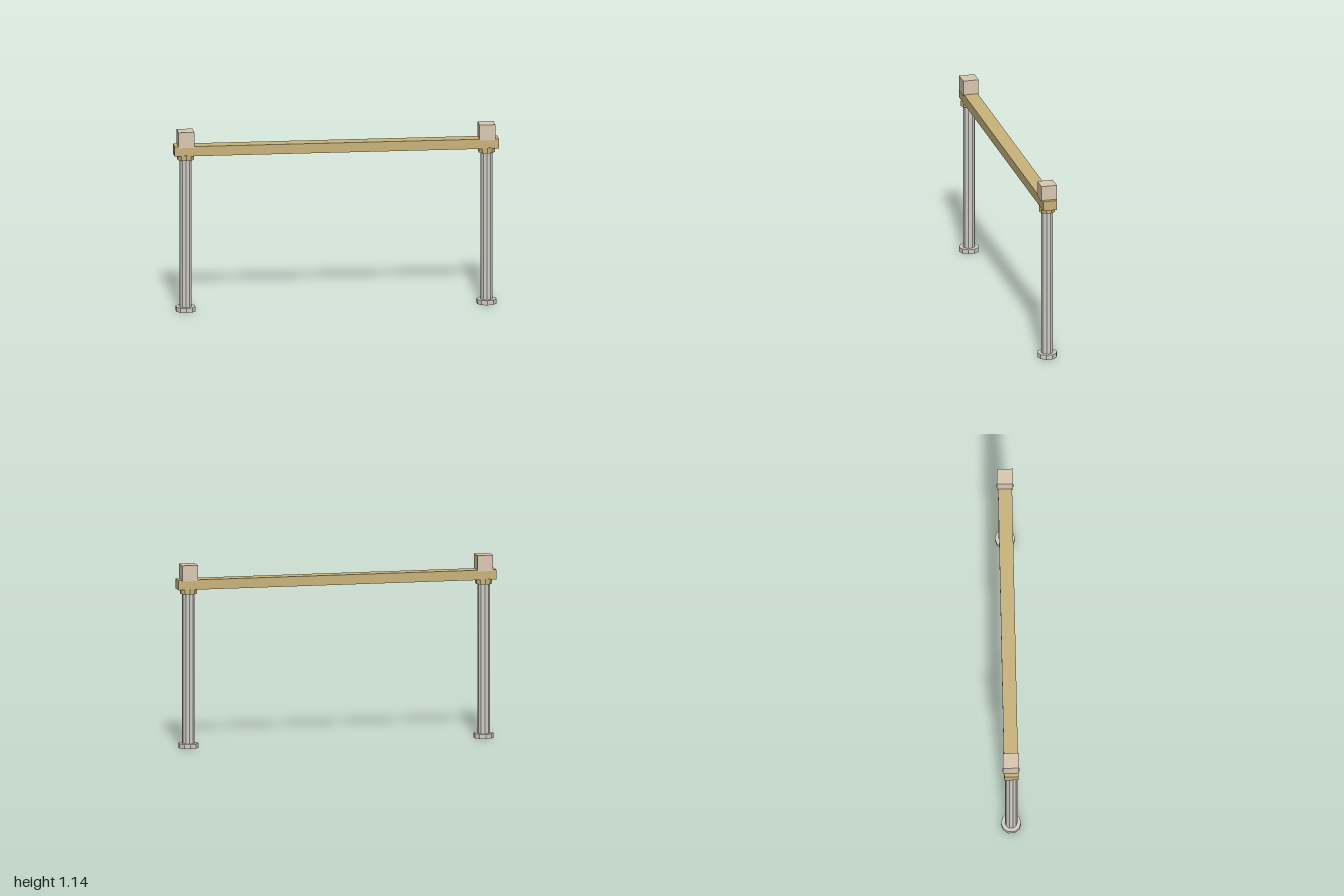
import * as THREE from 'three';

const material = (color) => new THREE.MeshStandardMaterial({ color, flatShading: true });

export function createModel() {
  const group = new THREE.Group();
  const steel = material(0xcfcdc6);
  const gold = material(0xc9b37a);
  const beige = material(0xd9c8b0);

  // Adds a mesh resting between heights y0 and y1
  const add = (parent, name, geometry, mat, y0, y1) => {
    const mesh = new THREE.Mesh(geometry, mat);
    mesh.name = name;
    mesh.position.y = (y0 + y1) / 2;
    parent.add(mesh);
  };
  const disc = (parent, name, radius, mat, y0, y1) =>
    add(parent, name, new THREE.CylinderGeometry(radius, radius, y1 - y0, 10), mat, y0, y1);
  const box = (parent, name, width, depth, mat, y0, y1) =>
    add(parent, name, new THREE.BoxGeometry(width, y1 - y0, depth), mat, y0, y1);

  // Horizontal beam
  box(group, 'beam', 2, 0.086, gold, 0.985, 1.046);

  // One post at each end, with foot, collar and top block
  for (const side of [-1, 1]) {
    const post = new THREE.Group();
    post.name = side < 0 ? 'rightPost' : 'leftPost';
    post.position.x = side * 0.928;
    disc(post, 'foot', 0.062, steel, 0, 0.029);
    disc(post, 'shaft', 0.038, steel, 0.029, 0.97);
    disc(post, 'collar', 0.052, gold, 0.957, 0.991);
    box(post, 'topBlock', 0.098, 0.098, beige, 1.039, 1.137);
    group.add(post);
  }
  return group;
}
